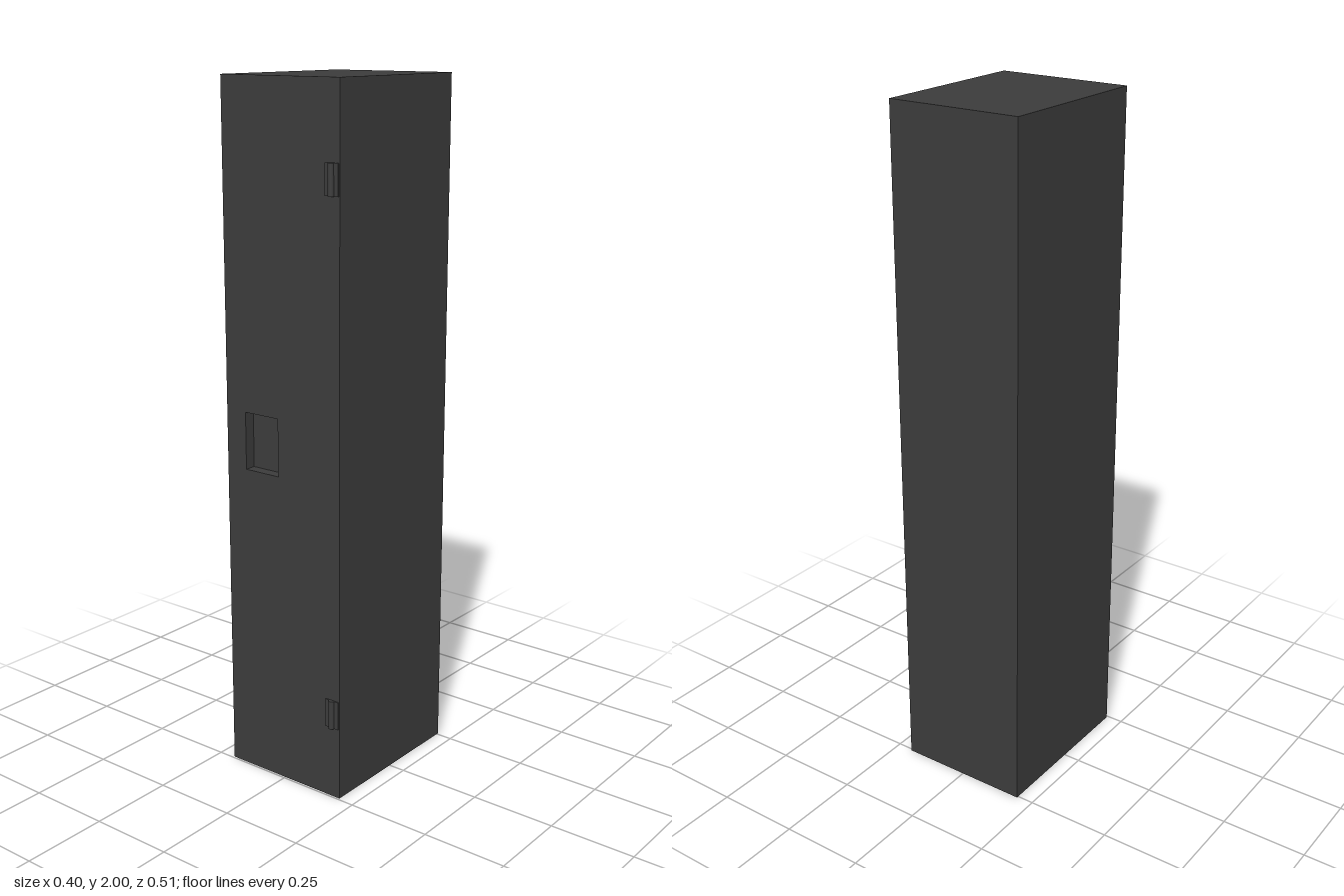
import * as THREE from 'three';

const HALF_W = 0.2, HEIGHT = 2, BACK = -0.256, FRONT = 0.244, DOOR = 0.033;

export function createModel() {
  const group = new THREE.Group();
  const material = new THREE.MeshStandardMaterial({ color: 0x3c3c3c });

  const add = (name, geometry, x, y, z, parent = group) => {
    const mesh = new THREE.Mesh(geometry, material);
    mesh.name = name;
    mesh.position.set(x, y, z);
    parent.add(mesh);
    return mesh;
  };

  // Cabinet behind the door; its front face closes the handle recess
  const depth = FRONT - DOOR - BACK;
  add('cabinet', new THREE.BoxGeometry(HALF_W * 2, HEIGHT, depth), 0, HEIGHT / 2, BACK + depth / 2);

  // Door panel with a rectangular handle recess
  const rectangle = (path, x0, y0, x1, y1) =>
    path.moveTo(x0, y0).lineTo(x1, y0).lineTo(x1, y1).lineTo(x0, y1).closePath();
  const door = new THREE.Shape();
  rectangle(door, -HALF_W, 0, HALF_W, HEIGHT);
  const recess = new THREE.Path();
  rectangle(recess, -0.132, 0.92, -0.015, 1.086);
  door.holes.push(recess);
  add('door', new THREE.ExtrudeGeometry(door, { depth: DOOR, bevelEnabled: false }), 0, 0, FRONT - DOOR);

  // Two hinges on the left edge: thin leaf plate and round barrel
  for (const [name, y] of [['upperHinge', 1.747], ['lowerHinge', 0.257]]) {
    const hinge = new THREE.Group();
    hinge.name = name;
    hinge.position.set(0.174, y, FRONT);
    add('hingeLeaf', new THREE.BoxGeometry(0.044, 0.084, 0.003), 0.001, 0, 0.0015, hinge);
    add('hingeBarrel', new THREE.CylinderGeometry(0.009, 0.009, 0.085, 16), 0, 0, 0.003, hinge);
    group.add(hinge);
  }

  return group;
}
